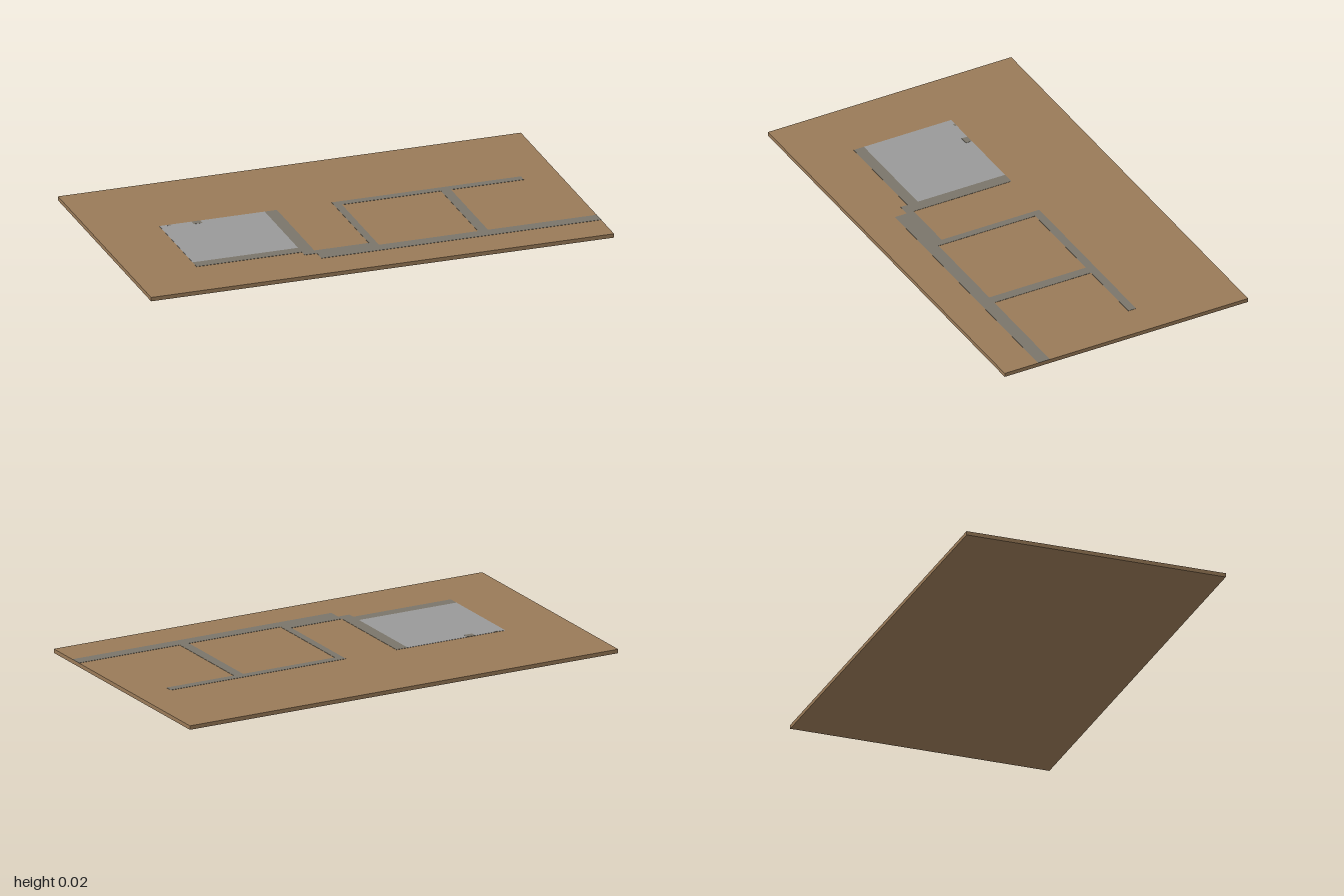
import * as THREE from 'three';

const BASE_H = 0.017;

export function createModel() {
  const group = new THREE.Group();
  const mat = (name, color) => {
    const m = new THREE.MeshStandardMaterial({ color });
    m.name = name;
    return m;
  };
  const earth = mat('earth brown', 0x997a58);
  const paving = mat('path grey', 0x7a756a);
  const concrete = mat('concrete grey', 0x999999);

  // Box given by its plan limits and its bottom and top heights
  const slab = (name, material, x0, x1, z0, z1, y0, y1) => {
    const mesh = new THREE.Mesh(new THREE.BoxGeometry(x1 - x0, y1 - y0, z1 - z0), material);
    mesh.position.set((x0 + x1) / 2, (y0 + y1) / 2, (z0 + z1) / 2);
    mesh.name = name;
    group.add(mesh);
  };

  // Ground board
  slab('groundBoard', earth, -1, 1, -0.565, 0.565, 0, BASE_H);

  // Paths laid on the ground: x0, x1, z0, z1
  const paths = {
    padFrontPath: [-0.717, -0.262, 0.275, 0.323],
    padSidePath: [-0.262, -0.209, -0.13, 0.355],
    linkPath: [-0.209, 0.027, 0.323, 0.355],
    mainRoad: [-0.209, 1, 0.355, 0.41],
    innerCrossPath: [0.027, 0.059, -0.094, 0.355],
    outerCrossPath: [0.487, 0.53, -0.094, 0.355],
    backPath: [0.027, 0.845, -0.13, -0.094],
  };
  for (const [name, [x0, x1, z0, z1]] of Object.entries(paths)) {
    slab(name, paving, x0, x1, z0, z1, BASE_H, BASE_H + 0.001);
  }

  // Concrete pad
  slab('concretePad', concrete, -0.717, -0.262, -0.13, 0.275, BASE_H, BASE_H + 0.001);

  // Worn patches along the back edge of the pad
  const patches = [[-0.578, -0.541, -0.13, -0.102], [-0.685, -0.67, -0.13, -0.121]];
  for (const [x0, x1, z0, z1] of patches) {
    slab('wornPatch', paving, x0, x1, z0, z1, BASE_H, BASE_H + 0.0016);
  }
  return group;
}
